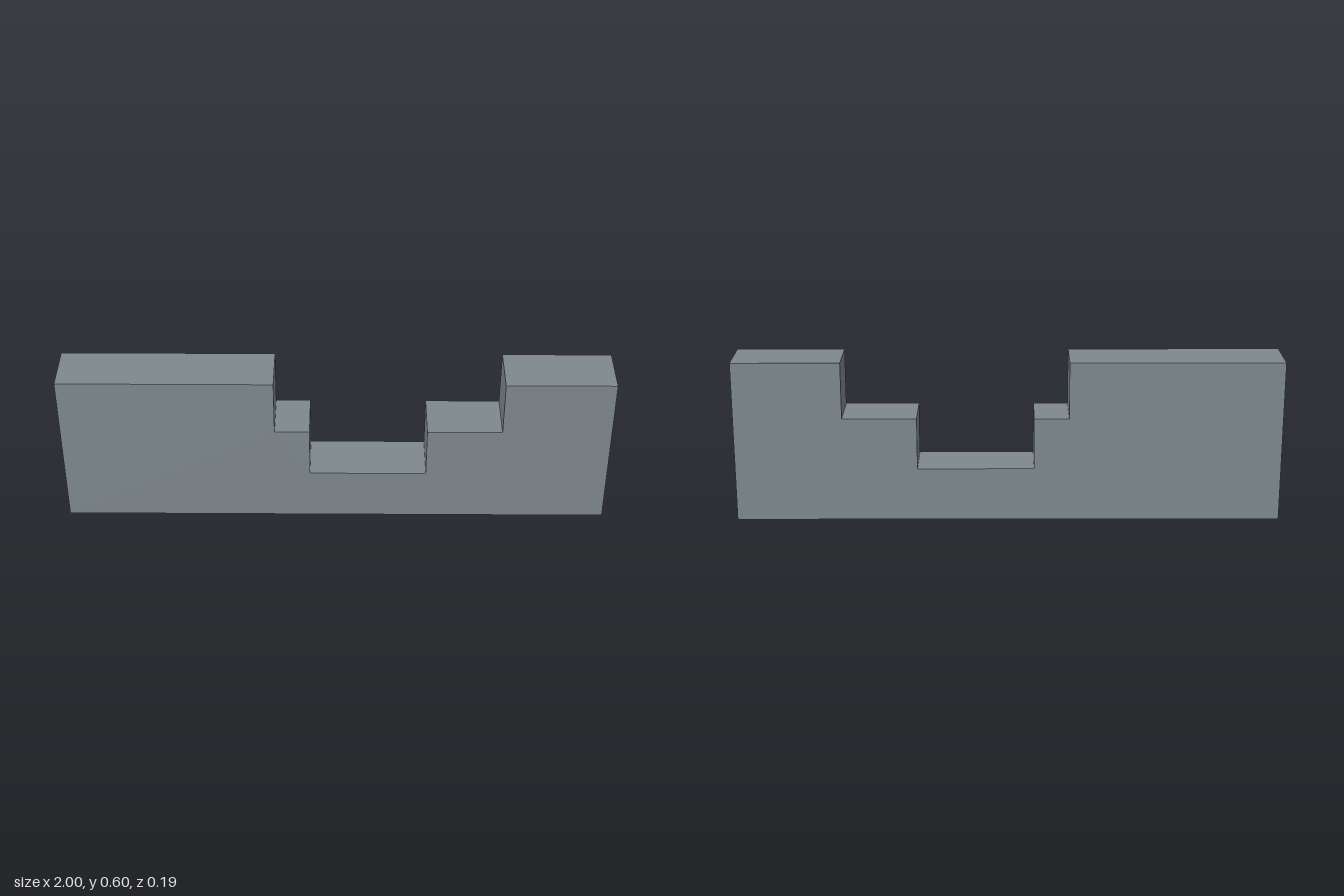
import * as THREE from 'three';

export function createModel() {
  const group = new THREE.Group();
  group.name = 'steppedWall';
  const slateGrey = new THREE.MeshStandardMaterial({ color: 0x7f898e });
  slateGrey.name = 'slateGrey';

  // Wall outline with a stepped notch in its top edge
  const depth = 0.193;
  const outline = [
    [-1, 0], [1, 0], [1, 0.6], [0.604, 0.6], [0.604, 0.39], [0.332, 0.39],
    [0.332, 0.198], [-0.095, 0.198], [-0.095, 0.39], [-0.222, 0.39], [-0.222, 0.6], [-1, 0.6],
  ];
  const shape = new THREE.Shape(outline.map(([x, y]) => new THREE.Vector2(x, y)));
  const geometry = new THREE.ExtrudeGeometry(shape, { depth, bevelEnabled: false });
  geometry.translate(0, 0, -depth / 2);

  const wall = new THREE.Mesh(geometry, slateGrey);
  wall.name = 'wall';
  group.add(wall);
  return group;
}
